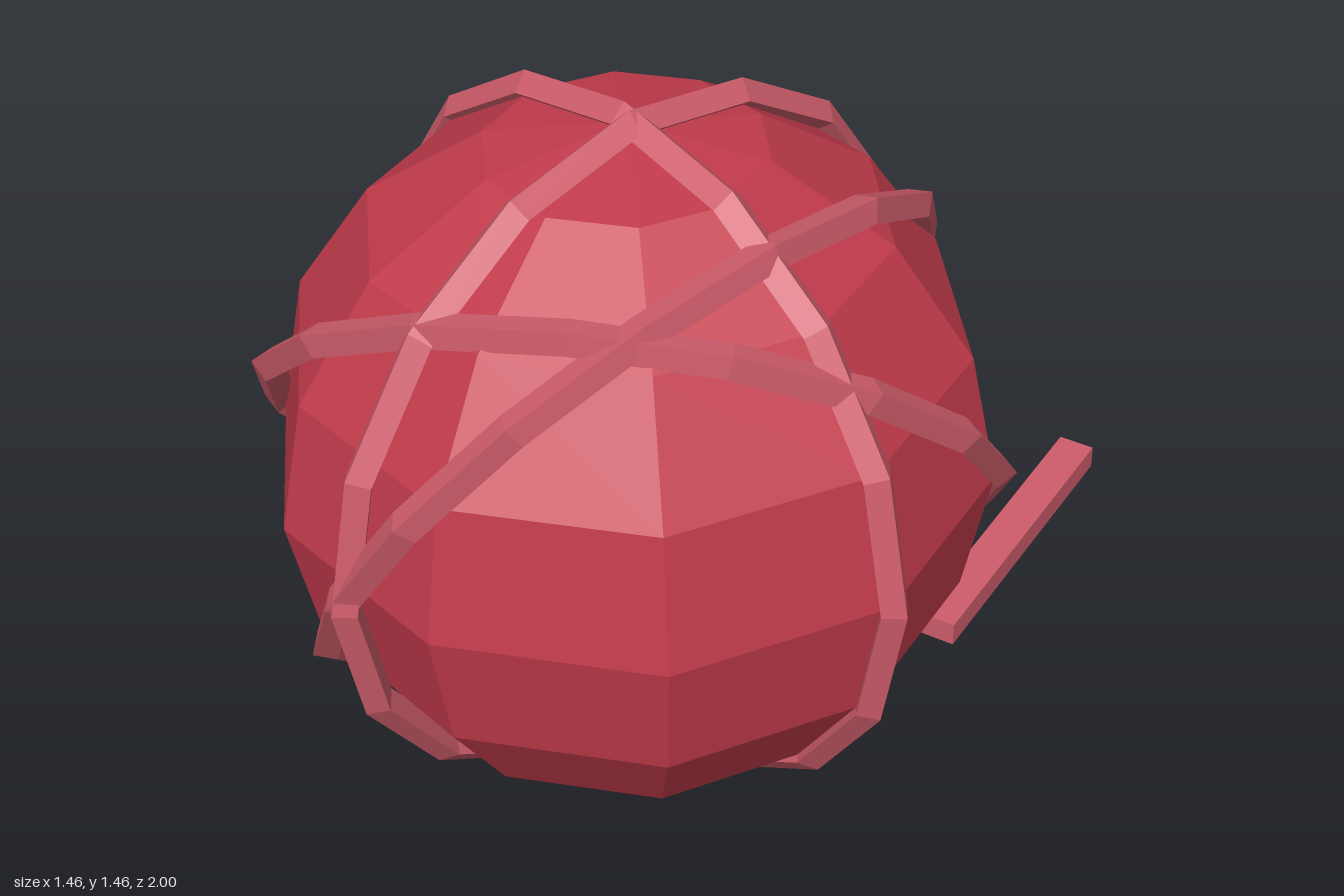
import * as THREE from 'three';

const CENTER = new THREE.Vector3(0, 0.74, 0.265);

export function createModel() {
  const model = new THREE.Group();
  model.name = 'yarnBall';
  const ballMaterial = new THREE.MeshStandardMaterial({ color: 0xc23b4b, flatShading: true });
  const threadMaterial = new THREE.MeshStandardMaterial({ color: 0xcf5d6b, flatShading: true });

  const add = (name, geometry, material, position) => {
    const mesh = new THREE.Mesh(geometry, material);
    mesh.name = name;
    mesh.position.copy(position);
    model.add(mesh);
    return mesh;
  };

  // Faceted core
  add('ball', new THREE.SphereGeometry(0.69, 10, 8), ballMaterial, CENTER);

  // Strands wound round the core: two directions span each loop, phase turns its corners
  const loopGeometry = new THREE.TorusGeometry(0.697, 0.033, 4, 16);
  const addLoop = (name, a, b, phase = 0) => {
    const u = new THREE.Vector3(...a).normalize();
    const n = u.clone().cross(new THREE.Vector3(...b)).normalize();
    const v = n.clone().cross(u);
    const loop = add(name, loopGeometry, threadMaterial, CENTER);
    loop.quaternion.setFromRotationMatrix(new THREE.Matrix4().makeBasis(u, v, n));
    loop.rotateZ(phase);
  };
  addLoop('sideLoop', [1, 0, 0], [0, 1, 0]);
  addLoop('lengthLoop', [0.04, -0.02, 1], [0.04, 1, 0.02]);
  addLoop('steepLoop', [0.532, 0.847, 0], [0.02, -0.01, 1]);
  addLoop('slantedLoop', [-0.36, 0.49, 0.79], [0.81, 0.59, 0], 0.08);

  // Loose strand lying behind the ball
  const strand = add('looseStrand', new THREE.BoxGeometry(0.08, 0.052, 0.7), threadMaterial,
    new THREE.Vector3(0.168, 0.071, -0.655));
  strand.rotation.y = 0.3;

  return model;
}
